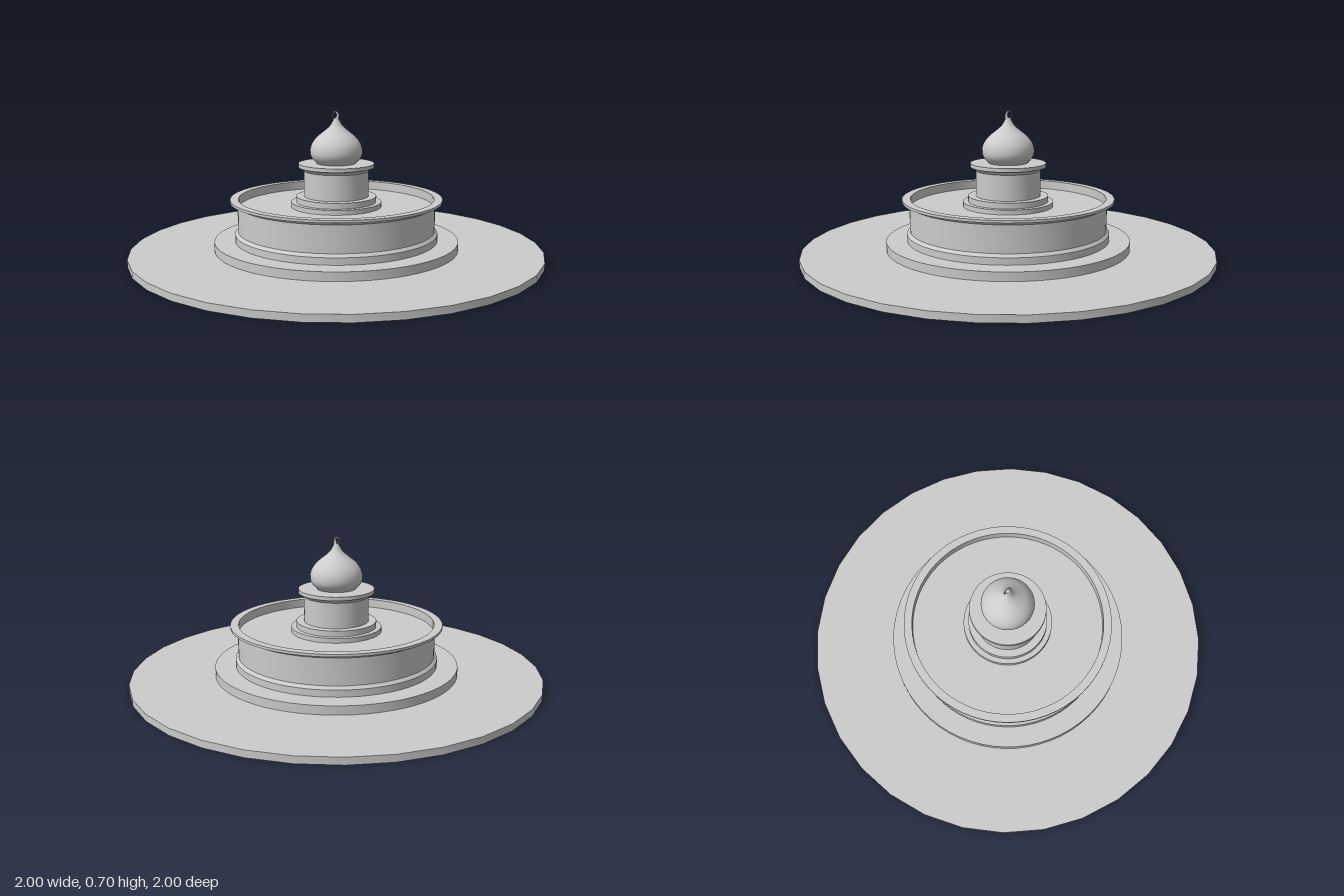
import * as THREE from 'three';
import { toCreasedNormals } from 'three/addons/utils/BufferGeometryUtils.js';

export function createModel() {
  const group = new THREE.Group();
  const material = new THREE.MeshStandardMaterial({ color: 0xcccccc, side: THREE.DoubleSide });

  const add = (name, geometry) => {
    const mesh = new THREE.Mesh(geometry, material);
    mesh.name = name;
    group.add(mesh);
    return mesh;
  };
  // Turned part from [radius, height] pairs, bottom to top
  const turned = (name, profile, segments = 64) => add(name, toCreasedNormals(
    new THREE.LatheGeometry(profile.map(([r, y]) => new THREE.Vector2(r, y)), segments), 0.5));

  // Hollow ground plate and the step on it
  turned('groundPlate', [[1, 0], [1, 0.033], [0.585, 0.033]], 32);
  turned('lowerStep', [[0.594, 0.033], [0.594, 0.075], [0.485, 0.075]]);

  // Round basin: foot moulding, wall, flared rim, inner wall and floor
  turned('basin', [
    [0.494, 0.075], [0.494, 0.108], [0.48, 0.122], [0.48, 0.25], [0.495, 0.262],
    [0.515, 0.266], [0.515, 0.278], [0.475, 0.278], [0.475, 0.235], [0.21, 0.235],
  ]);

  // Underside of the basin with its central well
  turned('basinUnderside', [[0.482, 0.12], [0.215, 0.128], [0.215, 0.222], [0, 0.222]]);

  // Stepped pedestal with a flared cap
  turned('pedestal', [
    [0.22, 0.235], [0.22, 0.258], [0.195, 0.258], [0.195, 0.286], [0.157, 0.286],
    [0.157, 0.41], [0.17, 0.425], [0.184, 0.428], [0.184, 0.446], [0, 0.446],
  ]);

  // Onion dome
  const domeCurve = new THREE.SplineCurve([
    [0.095, 0.446], [0.12, 0.475], [0.127, 0.505], [0.119, 0.54], [0.095, 0.573],
    [0.062, 0.6], [0.034, 0.624], [0.019, 0.647], [0.011, 0.665],
  ].map(([r, y]) => new THREE.Vector2(r, y)));
  add('onionDome', new THREE.LatheGeometry(domeCurve.getPoints(32), 32));

  // Curled tip: a tube that tapers along its path
  const path = new THREE.CatmullRomCurve3([
    [0.64, 0], [0.663, 0.007], [0.68, 0.01], [0.692, 0.002], [0.693, -0.011],
    [0.684, -0.022], [0.671, -0.023], [0.662, -0.014], [0.665, -0.008],
  ].map(([y, z]) => new THREE.Vector3(0, y, z)));
  const steps = 40, sides = 10;
  const tip = new THREE.TubeGeometry(path, steps, 0.016, sides);
  const pos = tip.attributes.position, v = new THREE.Vector3();
  for (let i = 0; i < pos.count; i++) {
    const t = Math.floor(i / (sides + 1)) / steps;
    const centre = path.getPointAt(t);
    v.fromBufferAttribute(pos, i).sub(centre).multiplyScalar(0.14 + 0.86 * (1 - t) ** 3).add(centre);
    pos.setXYZ(i, v.x, v.y, v.z);
  }
  tip.computeVertexNormals();
  add('curledTip', tip);

  return group;
}
